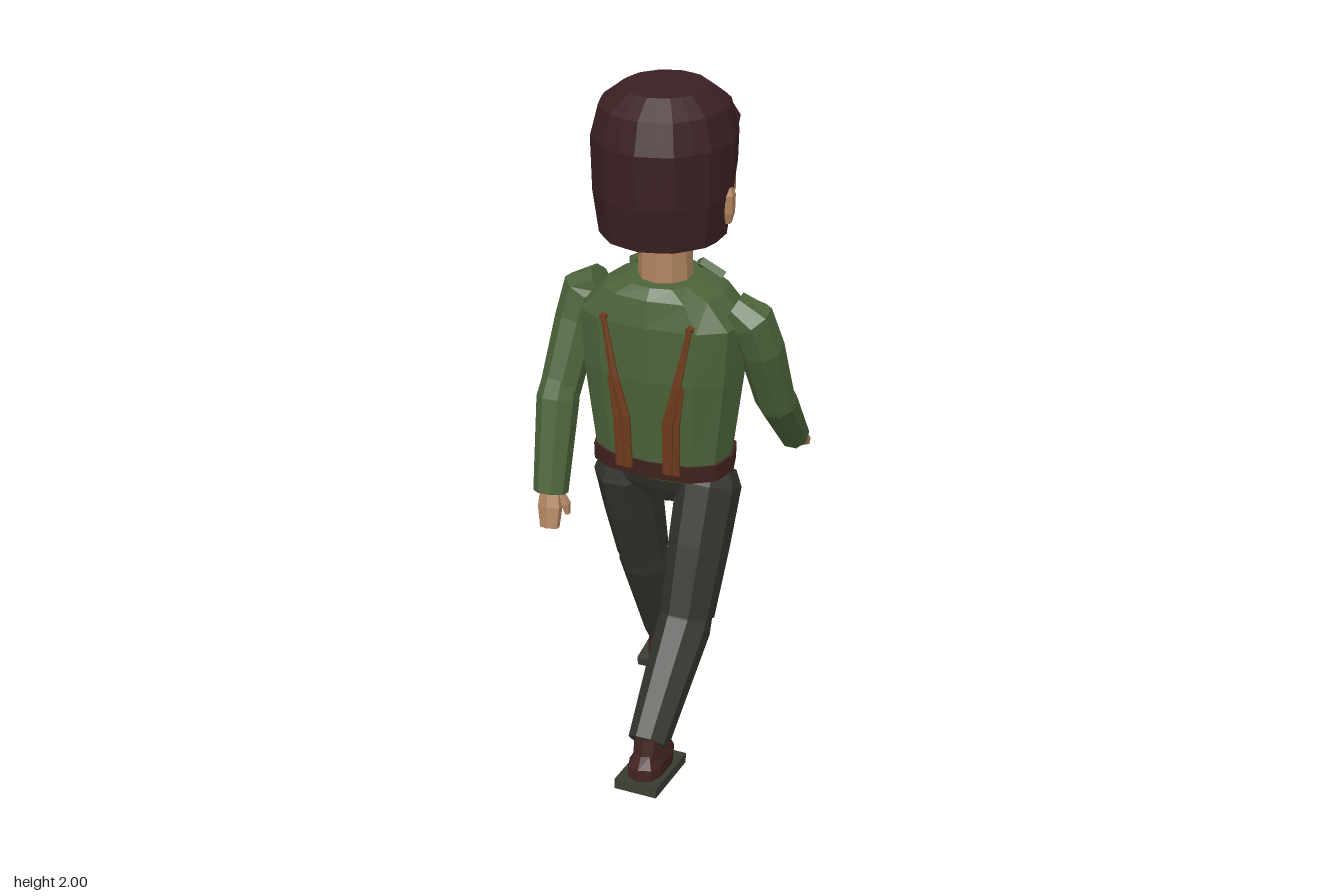
import * as THREE from 'three';

const paint = (name, color) => Object.assign(new THREE.MeshStandardMaterial({ color }), { name });
const V = (x, y, z) => new THREE.Vector3(x, y, z);

// Faceted solid through rings of equal length, capped at both ends.
function loft(rings, startCentre) {
  const pos = [];
  const tri = (...p) => p.forEach((q) => pos.push(q.x, q.y, q.z));
  const mid = (r) => r.reduce((s, p) => s.add(p), V(0, 0, 0)).divideScalar(r.length);
  const n = rings[0].length, first = rings[0], last = rings[rings.length - 1];
  const c0 = startCentre || mid(first), c1 = mid(last);
  for (let j = 0; j < n; j++) {
    const k = (j + 1) % n;
    for (let i = 0; i < rings.length - 1; i++) {
      const lo = rings[i], hi = rings[i + 1];
      tri(lo[j], lo[k], hi[k]);
      tri(lo[j], hi[k], hi[j]);
    }
    tri(c0, first[k], first[j]);
    tri(c1, last[j], last[k]);
  }
  const g = new THREE.BufferGeometry();
  g.setAttribute('position', new THREE.Float32BufferAttribute(pos, 3));
  g.computeVertexNormals();
  return g;
}

// Stacked horizontal rings: rows of [y, radiusX, radiusZ, centreZ]; power < 1 is boxier.
function stack(rows, n, power = 1) {
  const f = (v) => Math.sign(v) * Math.abs(v) ** power;
  return loft(rows.map(([y, rx, rz, cz = 0]) => Array.from({ length: n }, (_, j) => {
    const a = (j / n) * Math.PI * 2;
    return V(rx * f(Math.sin(a)), y, cz + rz * f(Math.cos(a)));
  })));
}

// Tapered limb along points [x, y, z, radius]; depth scales the section across x.
function limb(points, n = 8, depth = 1) {
  const p = points.map((q) => V(q[0], q[1], q[2]));
  return loft(p.map((c, i) => {
    const t = p[Math.min(i + 1, p.length - 1)].clone().sub(p[Math.max(i - 1, 0)]).normalize();
    const u = V(1, 0, 0).addScaledVector(t, -t.x).normalize();
    const v = t.clone().cross(u);
    const r = points[i][3];
    return Array.from({ length: n }, (_, j) => {
      const a = ((j + 0.5) / n) * Math.PI * 2;
      return c.clone().addScaledVector(u, r * Math.cos(a)).addScaledVector(v, r * depth * Math.sin(a));
    });
  }));
}

export function createModel() {
  const model = new THREE.Group();
  const skin = paint('skin', 0xb08560), hairMat = paint('hair', 0x3a2022);
  const green = paint('sweater', 0x4c633a), trousers = paint('trousers', 0x34342d);
  const leather = paint('leather', 0x40221f), soleMat = paint('sole', 0x3a3d33);
  const strapMat = paint('strap', 0x6e3c1c), cream = paint('shirt', 0xb8b2a5);
  const black = paint('black', 0x18181a), eyeBlue = paint('eyeBlue', 0x5c7884);
  cream.side = THREE.DoubleSide;

  const add = (name, geo, mat, parent = model) => {
    const m = new THREE.Mesh(geo, mat);
    m.name = name;
    parent.add(m);
    return m;
  };
  const box = (name, size, at, mat, rot = [0, 0, 0]) => {
    const m = add(name, new THREE.BoxGeometry(...size), mat);
    m.position.set(...at);
    m.rotation.set(...rot);
    return m;
  };

  // Torso, belt and pelvis
  const cz = -0.036;
  add('torso', stack([
    [0.875, 0.16, 0.1, cz], [0.93, 0.197, 0.126, cz], [1.2, 0.23, 0.15, cz],
    [1.36, 0.24, 0.148, cz], [1.435, 0.17, 0.135, cz], [1.465, 0.1, 0.112, cz],
  ], 12, 0.75), green);
  add('belt', stack([[0.895, 0.206, 0.131, cz], [0.945, 0.207, 0.133, cz]], 12, 0.75), leather);
  box('buckle', [0.05, 0.045, 0.012], [0, 0.92, -0.171], skin);
  add('pelvis', stack([
    [0.78, 0.06, 0.06, -0.05], [0.83, 0.14, 0.085, -0.05], [0.89, 0.18, 0.1, -0.045],
  ], 10, 0.8), trousers);

  // Shirt showing in the neckline
  const v = new THREE.BufferGeometry();
  v.setAttribute('position', new THREE.Float32BufferAttribute([
    -0.06, 1.474, -0.12, 0, 1.474, -0.153, 0.06, 1.474, -0.12,
    -0.062, 1.437, -0.173, 0, 1.437, -0.181, 0.062, 1.437, -0.173,
    0, 1.29, -0.193, -0.042, 1.37, -0.188, 0.042, 1.37, -0.188, 0, 1.36, -0.192], 3));
  v.setIndex([0, 1, 4, 0, 4, 3, 1, 2, 5, 1, 5, 4, 3, 4, 9, 3, 9, 7, 4, 5, 8, 4, 8, 9, 7, 9, 6, 9, 8, 6]);
  const flatV = v.toNonIndexed();
  flatV.computeVertexNormals();
  add('shirtFront', flatV, cream);

  for (const s of [1, -1]) {
    // Braces: one strap in front, a forked one behind
    add('frontBrace', limb([[s * 0.1, 1.425, -0.168, 0.013], [s * 0.104, 1.34, -0.182, 0.016],
      [s * 0.104, 1.2, -0.182, 0.018], [s * 0.1, 0.93, -0.164, 0.02]], 6, 0.45), strapMat);
    add('backBrace', limb([[s * 0.125, 1.37, 0.103, 0.008], [s * 0.092, 1.2, 0.111, 0.014],
      [s * 0.064, 1.08, 0.106, 0.018], [s * 0.06, 0.92, 0.095, 0.016]], 6, 0.5), strapMat);
    add('backBraceFork', limb([[s * 0.108, 1.2, 0.108, 0.006], [s * 0.09, 1.08, 0.104, 0.01],
      [s * 0.085, 0.92, 0.093, 0.012]], 6, 0.6), strapMat);
    add('braceButton', limb([[s * 0.125, 1.372, 0.09, 0.012], [s * 0.125, 1.372, 0.112, 0.01]], 6), strapMat);
    // Collar flaps
    box('collar', [0.075, 0.022, 0.075], [s * 0.092, 1.452, -0.135], green, [-0.55, s * 0.5, s * -0.35]);
  }

  // Legs in mid-stride
  const leg = (name, hip, knee, ankle) => {
    const lerp = (a, b, t) => a.map((q, i) => q + (b[i] - q) * t);
    add(name + 'Thigh', limb([[...lerp(hip, knee, -0.03), 0.07], [...lerp(hip, knee, 0.08), 0.092],
      [...lerp(hip, knee, 0.5), 0.087], [...knee, 0.076]], 8, 1.12), trousers);
    add(name + 'Shin', limb([[...lerp(knee, ankle, -0.04), 0.07], [...lerp(knee, ankle, 0.1), 0.078],
      [...ankle, 0.058]]), trousers);
  };
  leg('forwardLeg', [-0.132, 0.87, -0.05], [-0.123, 0.5, -0.16], [-0.12, 0.125, -0.315]);
  leg('rearLeg', [0.132, 0.87, -0.055], [0.125, 0.48, 0.1], [0.121, 0.22, 0.385]);

  // Shoes, toes towards -z
  const shoe = (name, x, y, z, pitch) => {
    const foot = new THREE.Group();
    foot.name = name;
    foot.position.set(x, y, z);
    foot.rotation.x = pitch;
    add('sole', new THREE.BoxGeometry(0.126, 0.03, 0.225), soleMat, foot);
    add('shoeUpper', stack([[0.012, 0.05, 0.1], [0.05, 0.05, 0.1], [0.085, 0.032, 0.083]], 10, 0.7), leather, foot);
    add('ankle', stack([[0.06, 0.04, 0.04, 0.04], [0.13, 0.042, 0.042, 0.03]], 8), leather, foot);
    model.add(foot);
  };
  shoe('forwardShoe', -0.122, 0.032, -0.37, 0.15);
  shoe('rearShoe', 0.122, 0.113, 0.37, -0.13);

  // Arms and hands: each swings opposite to its leg
  const arm = (name, upper, lower, hand, thumb) => {
    add(name + 'UpperArm', limb(upper), green);
    add(name + 'Forearm', limb(lower), green);
    add(name + 'Hand', limb(hand, 6, 0.65), skin);
    add(name + 'Thumb', limb(thumb, 5), skin);
  };
  arm('forward',
    [[0.2, 1.4, -0.03, 0.05], [0.25, 1.37, -0.035, 0.065], [0.272, 1.28, -0.06, 0.064], [0.29, 1.09, -0.135, 0.056]],
    [[0.288, 1.13, -0.12, 0.052], [0.29, 1.08, -0.15, 0.058], [0.28, 0.875, -0.345, 0.045]],
    [[0.28, 0.885, -0.33, 0.03], [0.281, 0.86, -0.37, 0.036], [0.284, 0.825, -0.412, 0.028]],
    [[0.262, 0.875, -0.35, 0.014], [0.243, 0.855, -0.385, 0.015], [0.233, 0.842, -0.41, 0.009]]);
  arm('rear',
    [[-0.2, 1.4, -0.06, 0.05], [-0.25, 1.37, -0.06, 0.066], [-0.268, 1.28, -0.04, 0.064], [-0.292, 1.08, 0.04, 0.058]],
    [[-0.29, 1.12, 0.03, 0.054], [-0.292, 1.07, 0.05, 0.061], [-0.284, 0.81, 0.13, 0.05]],
    [[-0.284, 0.83, 0.13, 0.03], [-0.28, 0.77, 0.145, 0.038], [-0.276, 0.71, 0.16, 0.03]],
    [[-0.262, 0.81, 0.125, 0.014], [-0.24, 0.775, 0.125, 0.015], [-0.236, 0.745, 0.125, 0.009]]);

  // Neck and head
  add('neck', stack([[1.44, 0.076, 0.076, -0.035], [1.57, 0.073, 0.073, -0.035]], 10), skin);
  add('head', stack([
    [1.525, 0.055, 0.06, -0.095], [1.565, 0.108, 0.107, -0.085], [1.64, 0.16, 0.148, -0.066],
    [1.72, 0.184, 0.168, -0.05], [1.82, 0.182, 0.166, -0.05], [1.9, 0.14, 0.13, -0.045],
  ], 14), skin);
  add('nose', stack([[1.65, 0.02, 0.014, -0.222], [1.668, 0.026, 0.026, -0.222],
    [1.735, 0.014, 0.012, -0.214]], 6), skin);
  box('mouth', [0.07, 0.014, 0.009], [0, 1.608, -0.2], strapMat, [-0.5, 0, 0]);
  for (const s of [1, -1]) {
    box('eye', [0.046, 0.06, 0.009], [s * 0.078, 1.725, -0.2], black, [0, -s * 0.42, 0]);
    box('iris', [0.026, 0.048, 0.006], [s * 0.08, 1.722, -0.205], eyeBlue, [0, -s * 0.42, 0]);
    box('eyebrow', [0.064, 0.018, 0.022], [s * 0.082, 1.775, -0.203], hairMat, [0, -s * 0.42, s * 0.1]);
    add('ear', stack([[1.645, 0.01, 0.012, -0.022], [1.675, 0.018, 0.022, -0.022],
      [1.725, 0.019, 0.025, -0.022], [1.745, 0.01, 0.014, -0.022]], 6), skin).position.x = s * 0.183;
  }

  // Hair: a cap with a hairline that rises from the nape to the brow
  const hairline = [1.6, 1.6, 1.6, 1.6, 1.6, 1.6, 1.61, 1.77, 1.78, 1.85, 1.84, 1.88, 1.85];
  const width = [[1.6, 0.176], [1.72, 0.192], [1.87, 0.196], [1.955, 0.174], [2, 0.115]];
  const radius = (y) => {
    const i = Math.min(3, Math.max(0, width.findIndex((w) => w[0] >= y) - 1));
    const [a, b] = [width[i], width[i + 1]];
    return a[1] + ((b[1] - a[1]) * (y - a[0])) / (b[0] - a[0]);
  };
  const rings = [1.6, 1.72, 1.87, 1.955, 2].map((level) => Array.from({ length: 24 }, (_, j) => {
    const a = (j / 24) * Math.PI * 2;
    const y = Math.max(level, hairline[Math.min(j, 24 - j)] + (level - 1.6) * 0.02);
    const r = radius(y) * (j % 2 ? 0.975 : 1);
    return V(r * Math.sin(a), y, -0.03 + r * 1.06 * Math.cos(a));
  }));
  add('hair', loft(rings, V(0, 1.72, -0.03)), hairMat);
  // Fringe locks
  [[-0.15, 1.83, -0.135], [-0.09, 1.85, -0.19], [-0.02, 1.86, -0.212], [0.065, 1.85, -0.205], [0.13, 1.835, -0.16]]
    .forEach(([x, y, z]) => add('fringeLock', limb([[x * 0.9, y + 0.1, z + 0.02, 0.024],
      [x, y + 0.05, z, 0.034], [x * 1.03, y - 0.03, z - 0.004, 0.012]], 5, 0.8), hairMat));

  return model;
}
